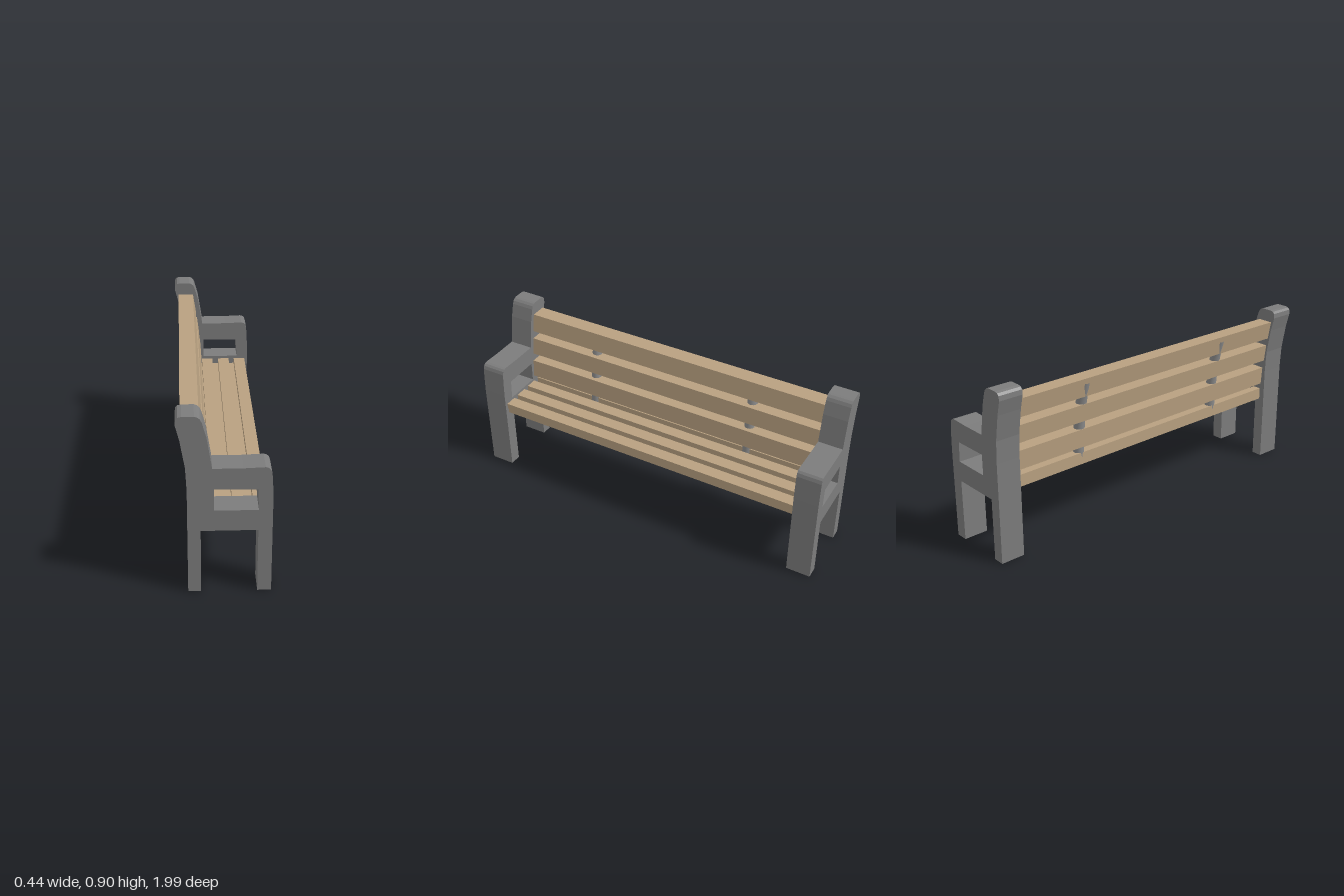
import * as THREE from 'three';

const stone = new THREE.MeshStandardMaterial({ color: 0x7c7c7c, flatShading: true, side: THREE.DoubleSide });
const wood = new THREE.MeshStandardMaterial({ color: 0xb8a080, flatShading: true });
const metal = new THREE.MeshStandardMaterial({ color: 0x8c8c8c });

const outline = (pts) => pts.map(([x, y]) => new THREE.Vector2(x, y));

// Extrudes an x-y profile along z between z0 and z1
function extrude(name, shape, z0, z1, material) {
  const geometry = new THREE.ExtrudeGeometry(shape, { depth: z1 - z0, bevelEnabled: false });
  geometry.translate(0, 0, z0);
  const mesh = new THREE.Mesh(geometry, material);
  mesh.name = name;
  return mesh;
}

// Removes the faces under the feet, which are hollow
function openFeet(mesh) {
  const p = mesh.geometry.getAttribute('position');
  const kept = [];
  for (let i = 0; i < p.count; i += 3) {
    if (Math.max(p.getY(i), p.getY(i + 1), p.getY(i + 2)) < 0.001) continue;
    for (let j = i; j < i + 3; j++) kept.push(p.getX(j), p.getY(j), p.getZ(j));
  }
  mesh.geometry = new THREE.BufferGeometry();
  mesh.geometry.setAttribute('position', new THREE.Float32BufferAttribute(kept, 3));
  mesh.geometry.computeVertexNormals();
}

// End frame: legs, armrest and back post in one profile
function endShape() {
  const shape = new THREE.Shape(outline([
    [-0.17, 0], [-0.11, 0], [-0.11, 0.327], [0.152, 0.327], [0.152, 0], [0.217, 0],
    [0.217, 0.48], [0.214, 0.56], [0.21, 0.617], [0.204, 0.635], [0.194, 0.645], [0.18, 0.649],
    [0.08, 0.645], [-0.057, 0.645], [-0.082, 0.8], [-0.102, 0.87], [-0.11, 0.886], [-0.122, 0.896],
    [-0.135, 0.9], [-0.19, 0.9], [-0.207, 0.896], [-0.217, 0.885], [-0.219, 0.86],
    [-0.2, 0.785], [-0.177, 0.65], [-0.171, 0.53],
  ]));
  shape.holes.push(new THREE.Path(outline([[-0.05, 0.432], [-0.05, 0.54], [0.148, 0.538], [0.153, 0.432]])));
  return shape;
}

export function createModel() {
  const group = new THREE.Group();
  group.name = 'bench';
  const z0 = -0.86, z1 = 0.87;

  // End frames
  for (const [name, a, b] of [['leftEnd', -0.995, -0.865], ['rightEnd', 0.868, 0.998]]) {
    const end = extrude(name, endShape(), a, b, stone);
    openFeet(end);
    group.add(end);
  }

  // Seat base and slats
  const seat = new THREE.Group();
  seat.name = 'seat';
  const plank = (name, x0, x1, y0, y1) => seat.add(extrude(name,
    new THREE.Shape(outline([[x0, y0], [x1, y0], [x1, y1], [x0, y1]])), z0, z1, wood));
  plank('seatBase', -0.14, 0.193, 0.355, 0.387);
  for (const [x0, x1] of [[-0.14, -0.095], [-0.06, 0.003], [0.038, 0.103], [0.135, 0.2]]) {
    plank('seatSlat', x0, x1, 0.387, 0.418);
  }
  group.add(seat);

  // Leaning backrest boards: y range, then back and front x at the bottom and top
  const boards = [
    [0.45, 0.55, -0.145, -0.065, -0.152, -0.072],
    [0.595, 0.69, -0.16, -0.077, -0.172, -0.089],
    [0.733, 0.833, -0.18, -0.096, -0.198, -0.112],
  ];
  for (const [y0, y1, b0, f0, b1, f1] of boards) {
    group.add(extrude('backrestBoard',
      new THREE.Shape(outline([[b0, y0], [f0, y0], [f1, y1], [b1, y1]])), z0, z1, wood));
  }

  // Round support posts through the backrest
  for (const z of [-0.465, 0.475]) {
    const path = new THREE.CatmullRomCurve3([
      new THREE.Vector3(-0.112, 0.39, z), new THREE.Vector3(-0.122, 0.55, z),
      new THREE.Vector3(-0.14, 0.68, z), new THREE.Vector3(-0.171, 0.81, z),
    ]);
    const post = new THREE.Mesh(new THREE.TubeGeometry(path, 12, 0.028, 12), metal);
    post.name = 'supportPost';
    group.add(post);
  }
  return group;
}
